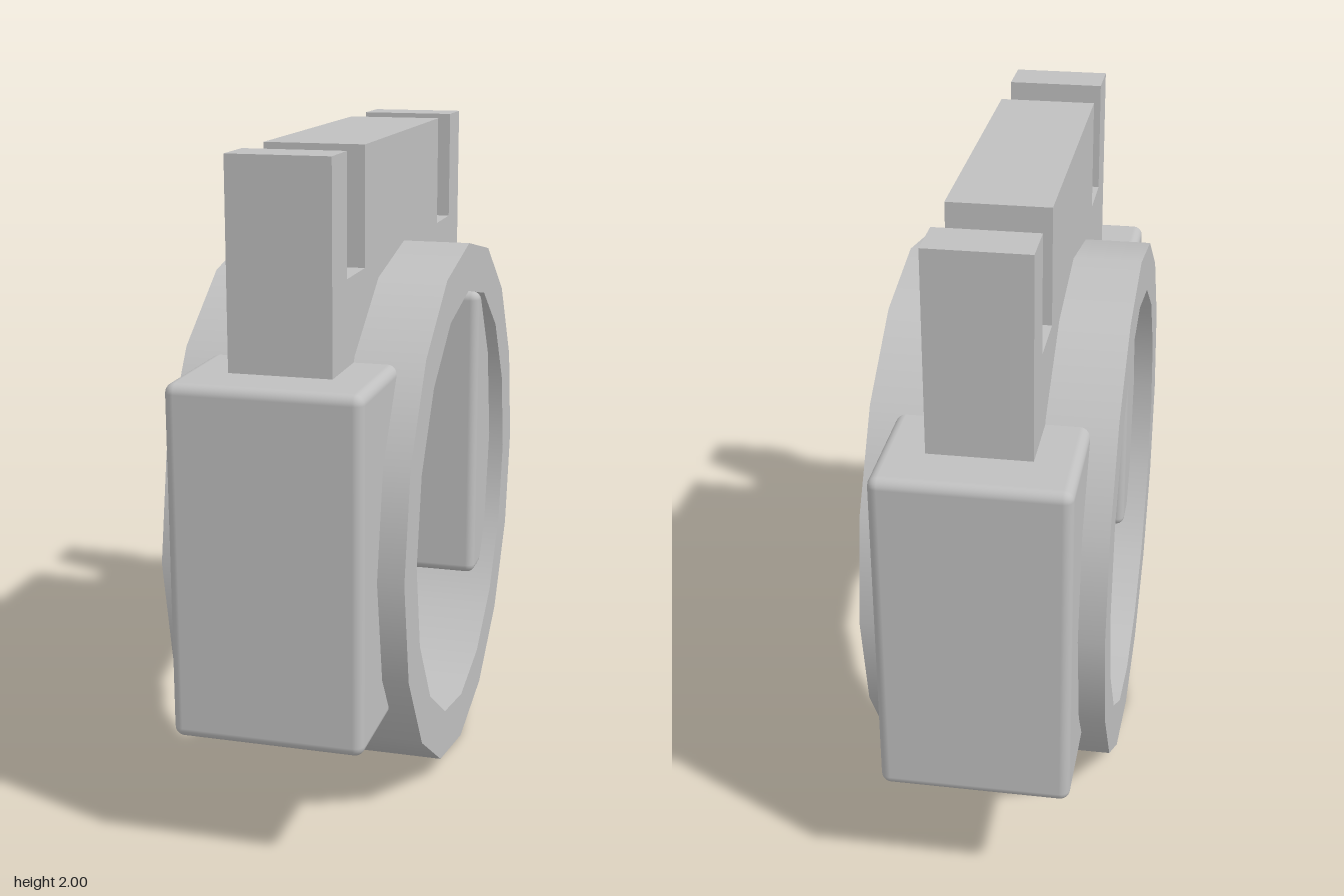
import * as THREE from 'three';
import { RoundedBoxGeometry } from 'three/addons/geometries/RoundedBoxGeometry.js';

export function createModel() {
  const model = new THREE.Group();
  model.name = 'ringClamp';

  const grey = new THREE.MeshStandardMaterial({ color: 0xc0c0c0, side: THREE.DoubleSide });
  grey.name = 'light grey';

  const add = (name, geometry, x, y, z, parent = model) => {
    const mesh = new THREE.Mesh(geometry, grey);
    mesh.name = name;
    mesh.position.set(x, y, z);
    parent.add(mesh);
    return mesh;
  };

  // Hollow ring: a thin outer wall with a flat rim on each side, open inside
  const SIDES = 16, OUTER = 0.83, INNER = 0.68, HALF = 0.358;
  const ring = new THREE.Group();
  ring.name = 'ring';
  ring.position.y = OUTER;
  model.add(ring);
  const wall = new THREE.CylinderGeometry(OUTER, OUTER, HALF * 2, SIDES, 1, true);
  wall.rotateZ(Math.PI / 2);
  add('ringWall', wall, 0, 0, 0, ring);
  for (const side of [-1, 1]) {
    const rim = new THREE.RingGeometry(INNER, OUTER, SIDES);
    rim.rotateY(side * Math.PI / 2);
    add(side > 0 ? 'leftRim' : 'rightRim', rim, side * HALF, 0, 0, ring);
  }

  // Rounded blocks at front and back, reaching into the ring
  for (const side of [-1, 1]) {
    const block = new RoundedBoxGeometry(0.56, 1.035, 0.413, 3, 0.03);
    add(side > 0 ? 'frontBlock' : 'backBlock', block, 0, 0.8825, side * 0.7765);
  }

  // Upper plate with two notches, drawn in (z, y) and extruded across x
  const half = [[0.475, 2], [0.475, 1.65], [0.665, 1.65], [0.665, 2], [0.815, 2], [0.815, 1.38]];
  const outline = [...half, ...half.map(([z, y]) => [-z, y]).reverse()];
  const shape = new THREE.Shape(outline.map(([z, y]) => new THREE.Vector2(z, y)));
  const plate = new THREE.ExtrudeGeometry(shape, { depth: 0.3, bevelEnabled: false });
  plate.translate(0, 0, -0.15);
  plate.rotateY(-Math.PI / 2);
  add('notchedPlate', plate, 0, 0, 0);

  return model;
}
